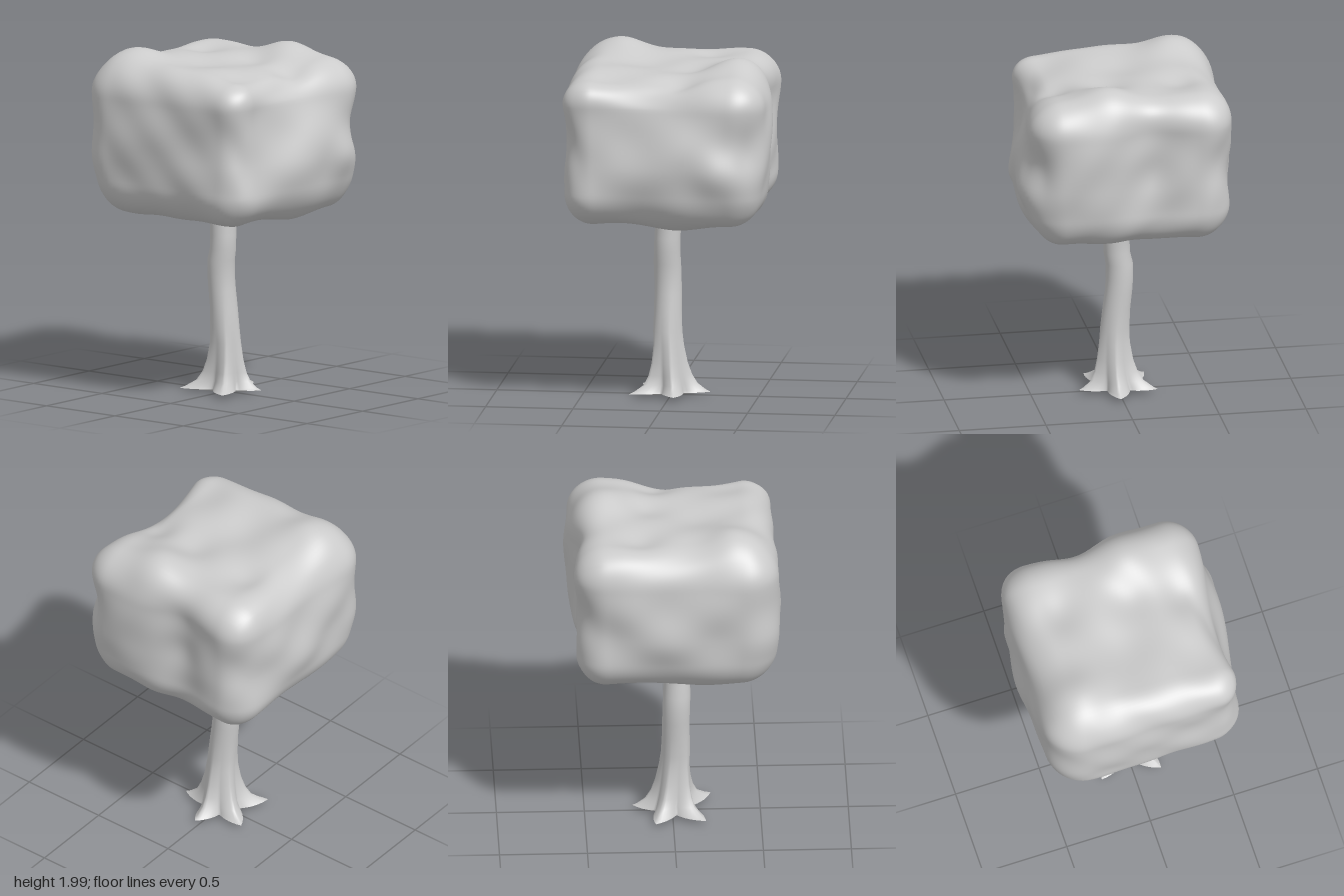
import * as THREE from 'three';
import { mergeVertices } from 'three/addons/utils/BufferGeometryUtils.js';

const material = new THREE.MeshStandardMaterial({ color: 0xcccccc });

// Soft lumps and dents on the crown: x, y, z, height, radius
const lumps = [
  [-0.35, 1.92, 0.33, 0.07, 0.18], [0.15, 1.92, -0.4, 0.05, 0.2],
  [-0.38, 1.92, -0.4, 0.02, 0.2], [0.38, 1.92, 0.3, -0.03, 0.22],
  [0.0, 1.92, 0.1, -0.025, 0.2], [0.38, 1.9, -0.1, -0.04, 0.14],
  [-0.33, 1.92, -0.18, -0.025, 0.14], [0.1, 1.92, -0.16, -0.03, 0.16],
  [0.6, 1.42, -0.05, 0.045, 0.22], [0.6, 1.4, -0.32, 0.04, 0.16],
  [0.6, 1.75, 0.2, -0.05, 0.3], [0.58, 1.5, 0.5, -0.065, 0.27],
  [0.55, 1.9, 0.0, -0.065, 0.28], [0.58, 1.5, -0.55, -0.05, 0.2],
  [-0.6, 1.4, 0.0, 0.04, 0.25], [-0.6, 1.6, -0.25, 0.03, 0.2],
  [-0.6, 1.65, 0.3, 0.02, 0.22], [-0.35, 1.5, 0.58, 0.025, 0.3],
  [0.3, 1.35, 0.58, 0.005, 0.25], [-0.12, 1.75, -0.58, -0.05, 0.2],
  [-0.12, 1.5, -0.58, -0.055, 0.17], [-0.12, 1.25, -0.58, -0.045, 0.2],
  [0.32, 1.55, -0.58, 0.025, 0.25], [-0.5, 1.5, -0.5, -0.045, 0.25],
  [-0.3, 1.08, 0.2, 0.02, 0.2], [0.4, 1.08, -0.1, 0.016, 0.2],
  [0.0, 1.07, 0.0, -0.06, 0.2],
];

function createCrown() {
  const half = new THREE.Vector3(0.575, 0.425, 0.57), radius = 0.175;
  let geometry = new THREE.BoxGeometry(half.x * 2, half.y * 2, half.z * 2, 48, 40, 48);
  geometry.deleteAttribute('normal');
  geometry.deleteAttribute('uv');
  geometry = mergeVertices(geometry);
  const pos = geometry.attributes.position;
  const inner = half.clone().subScalar(radius), outer = inner.clone().negate();
  const p = new THREE.Vector3(), core = new THREE.Vector3(), n = new THREE.Vector3();
  for (let i = 0; i < pos.count; i++) {
    // Round the box
    p.fromBufferAttribute(pos, i);
    core.copy(p).clamp(outer, inner);
    n.copy(p).sub(core).normalize();
    p.copy(core).addScaledVector(n, radius);
    p.y += 1.495;
    // Swell it and add lumps along the normal
    let d = 0.008 * Math.sin(9 * p.x + 5 * p.y + 1) * Math.sin(8 * p.z - 6 * p.y)
      + 0.006 * Math.sin(17 * p.y + 6 * p.x) * Math.sin(13 * p.x - 11 * p.z + 2);
    for (const [x, y, z, h, r] of lumps) {
      const q = ((p.x - x) ** 2 + (p.y - y) ** 2 + (p.z - z) ** 2) / (r * r);
      d += h * Math.exp(-q * 1.4);
    }
    p.addScaledVector(n, d + 0.01);
    // Draw the lower part in
    const taper = 1 - 0.05 * (1 - THREE.MathUtils.smoothstep(p.y, 1.05, 1.42));
    pos.setXYZ(i, p.x * taper, p.y, p.z * (0.4 + 0.6 * taper));
  }
  geometry.computeVertexNormals();
  const mesh = new THREE.Mesh(geometry, material);
  mesh.name = 'crown';
  return mesh;
}

// Trunk sections from the underside up: y, centre x, centre z, radius, root spread
const sections = [
  [0.008, 0, 0, 0, 0], [0.016, 0, 0, 0.06, 0.4], [0.032, 0, 0, 0.108, 1],
  [0.032, 0, 0, 0.108, 1], [0.045, 0, 0, 0.105, 0.8], [0.08, 0.005, 0, 0.099, 0.46],
  [0.13, 0.01, 0.005, 0.094, 0.28], [0.2, 0.014, 0.01, 0.088, 0.16],
  [0.3, 0.015, 0.015, 0.082, 0.07], [0.38, 0.012, 0.02, 0.081, 0.03],
  [0.5, 0.002, 0.02, 0.079, 0], [0.6, -0.01, 0.02, 0.078, 0],
  [0.68, -0.016, 0.022, 0.078, 0], [0.77, -0.014, 0.025, 0.078, 0],
  [0.84, 0.0, 0.025, 0.075, 0], [0.92, 0.0, 0.023, 0.074, 0],
  [1.0, -0.005, 0.018, 0.075, 0], [1.2, -0.005, 0.01, 0.077, 0],
];

// Root tips: angle in degrees, length beyond the trunk
const roots = [[55, 0.165], [135, 0.155], [205, 0.13], [275, 0.12], [350, 0.125]];

// Star outline: how far the roots reach at an angle
function rootReach(angle) {
  return Math.max(...roots.map(([tip, length]) => {
    const gap = Math.abs((angle - tip + 540) % 360 - 180);
    return length * Math.max(0, 1 - gap / 38) ** 1.3;
  }));
}

function createTrunk() {
  const sides = 72;
  const points = [], index = [];
  sections.forEach(([y, cx, cz, r, spread], row) => {
    for (let j = 0; j < sides; j++) {
      const a = j / sides * Math.PI * 2;
      const d = r + spread * rootReach(j / sides * 360);
      points.push(cx + d * Math.cos(a), y, cz + d * Math.sin(a));
      // The doubled rim section keeps the lower edge sharp
      if (row < sections.length - 1 && row !== 2) {
        const b = row * sides + j, c = row * sides + (j + 1) % sides;
        index.push(b, b + sides, c, c, b + sides, c + sides);
      }
    }
  });
  const geometry = new THREE.BufferGeometry();
  geometry.setAttribute('position', new THREE.Float32BufferAttribute(points, 3));
  geometry.setIndex(index);
  geometry.computeVertexNormals();
  const mesh = new THREE.Mesh(geometry, material);
  mesh.name = 'trunk';
  return mesh;
}

export function createModel() {
  const tree = new THREE.Group();
  tree.name = 'tree';
  tree.add(createTrunk(), createCrown());
  return tree;
}
